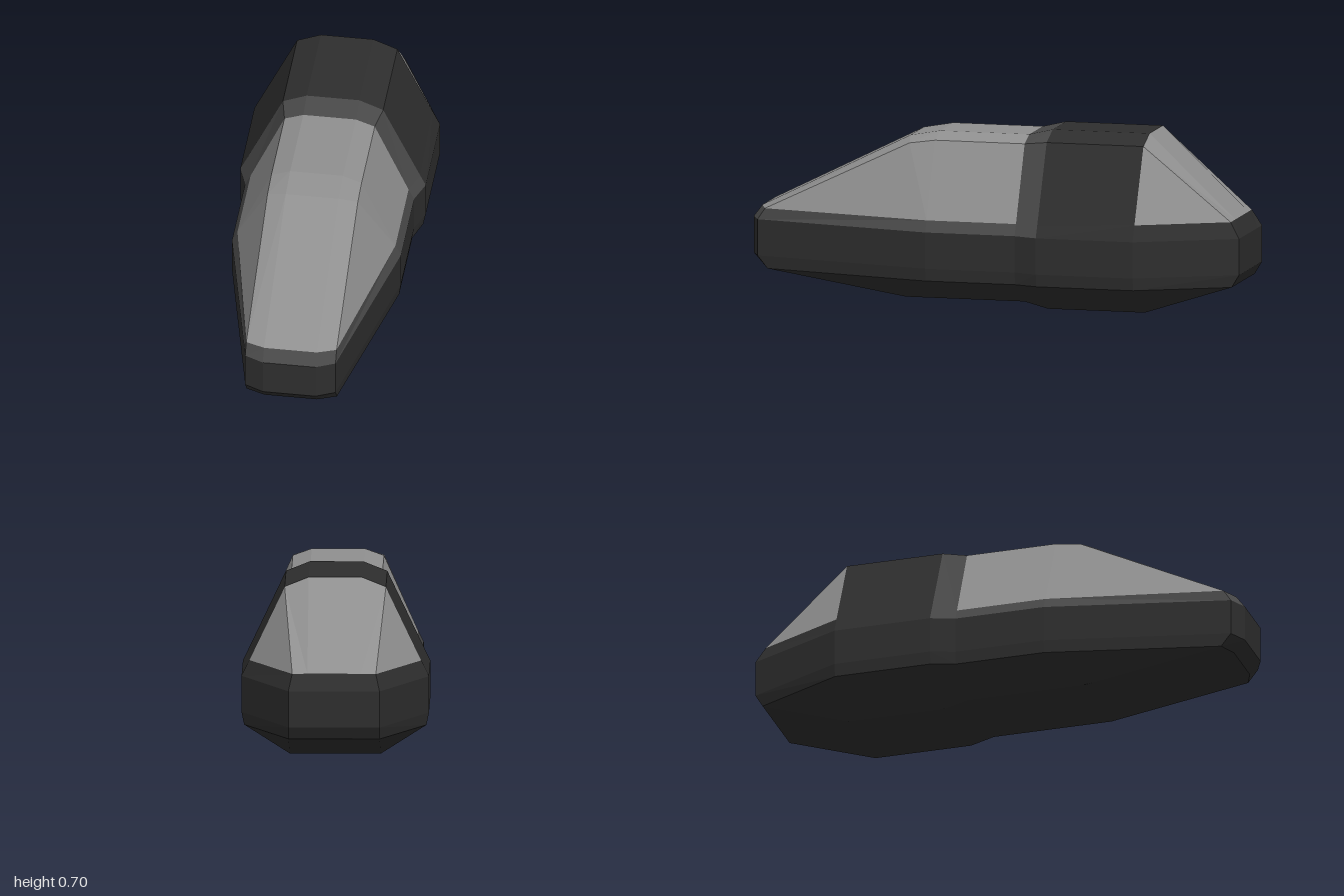
import * as THREE from 'three';

// Half section, bottom to top: keel inner, keel edge, low side, side, upper side, sill, shoulder, roof
const nose = [
  [0.105, 0.115, 0.955], [0.18, 0.115, 0.925], [0.18, 0.115, 0.925], [0.18, 0.165, 0.965],
  [0.18, 0.31, 0.965], [0.18, 0.355, 0.935], [0.18, 0.355, 0.935], [0.105, 0.357, 0.965],
];
const cabin = (z, keelZ) => [
  [0.105, 0.025, keelZ], [0.18, 0.025, keelZ], [0.33, 0.115, z], [0.337, 0.165, z],
  [0.337, 0.31, z], [0.315, 0.355, z], [0.18, 0.655, z], [0.105, 0.682, z],
];
const shell = (z, sillX, sillY) => [
  [0.105, 0, z], [0.18, 0, z], [0.36, 0.115, z], [0.37, 0.165, z],
  [0.37, 0.31, z], [sillX, sillY, z], [0.2, 0.667, z], [0.105, 0.705, z],
];
const tail = [
  [0.105, 0.115, -0.97], [0.18, 0.115, -0.97], [0.18, 0.115, -0.97], [0.18, 0.165, -1],
  [0.18, 0.31, -1], [0.165, 0.373, -0.962], [0.165, 0.373, -0.962], [0.105, 0.375, -0.965],
];
// The windscreen crest bends once more ahead of the cabin
const crest = cabin(0.24, 0.36);
crest[6] = [0.18, 0.64, 0.345];
crest[7] = [0.105, 0.66, 0.36];

const mirror = ([x, y, z]) => [-x, y, z];
const fullRing = (half) => [...half, ...half.slice().reverse().map(mirror)];

export function createModel() {
  const model = new THREE.Group();
  const parts = {
    hull: { color: 0x2e2e2e, pos: [] },
    rearShell: { color: 0x2e2e2e, pos: [] },
    trim: { color: 0x484848, pos: [] },
    frontCanopy: { color: 0x8f8f8f, pos: [] },
    rearWindow: { color: 0x8f8f8f, pos: [] },
  };

  const v = (p) => new THREE.Vector3(...p);
  function tri(part, a, b, c) {
    const area = v(b).sub(v(a)).cross(v(c).sub(v(a))).length();
    if (area > 1e-7) parts[part].pos.push(...a, ...b, ...c);
  }
  function quad(part, a, b, c, d) {
    tri(part, a, b, c);
    tri(part, a, c, d);
  }

  // Which part a panel belongs to, by length segment and height strip
  function partFor(segment, strip) {
    if (segment < 3) return strip >= 5 ? 'frontCanopy' : strip === 4 ? 'trim' : 'hull';
    if (segment === 3) return strip >= 4 ? 'trim' : 'hull';
    if (segment === 4) return 'rearShell';
    return strip >= 5 ? 'rearWindow' : 'hull';
  }

  // Skin between the sections, nose to tail; mirrored diagonals on the far side
  const rings = [
    nose, crest, cabin(0.24, 0.36), cabin(-0.125, -0.125),
    shell(-0.22, 0.348, 0.355), shell(-0.615, 0.34, 0.373), tail,
  ].map(fullRing);
  for (let i = 0; i < rings.length - 1; i++) {
    for (let j = 0; j < 16; j++) {
      const n = (j + 1) % 16;
      const strip = j < 8 ? j : j === 15 ? -1 : 14 - j;
      const [a, b, c, d] = [rings[i][j], rings[i + 1][j], rings[i + 1][n], rings[i][n]];
      if (j < 8) quad(partFor(i, strip), a, b, c, d);
      else quad(partFor(i, strip), d, a, b, c);
    }
  }

  // Faceted end caps: rows bottom to top, four columns across
  function endCap(half, midZ, front) {
    const mids = [half[0], [0.105, 0.165, midZ], [0.105, 0.31, midZ], half[7]];
    const rows = mids.map((m, r) => [mirror(half[r + 2]), mirror(m), m, half[r + 2]]);
    for (let r = 0; r < 3; r++) {
      for (let c = 0; c < 3; c++) {
        const q = [rows[r][c], rows[r][c + 1], rows[r + 1][c + 1], rows[r + 1][c]];
        if (!front) q.reverse();
        quad(front && r === 2 ? 'trim' : 'hull', ...q);
      }
    }
  }
  endCap(nose, 1, true);
  endCap(tail, -1, false);

  for (const [name, { color, pos }] of Object.entries(parts)) {
    const geometry = new THREE.BufferGeometry();
    geometry.setAttribute('position', new THREE.Float32BufferAttribute(pos, 3));
    geometry.computeVertexNormals();
    const material = new THREE.MeshStandardMaterial({ color, flatShading: true });
    const mesh = new THREE.Mesh(geometry, material);
    mesh.name = name;
    model.add(mesh);
  }
  return model;
}
